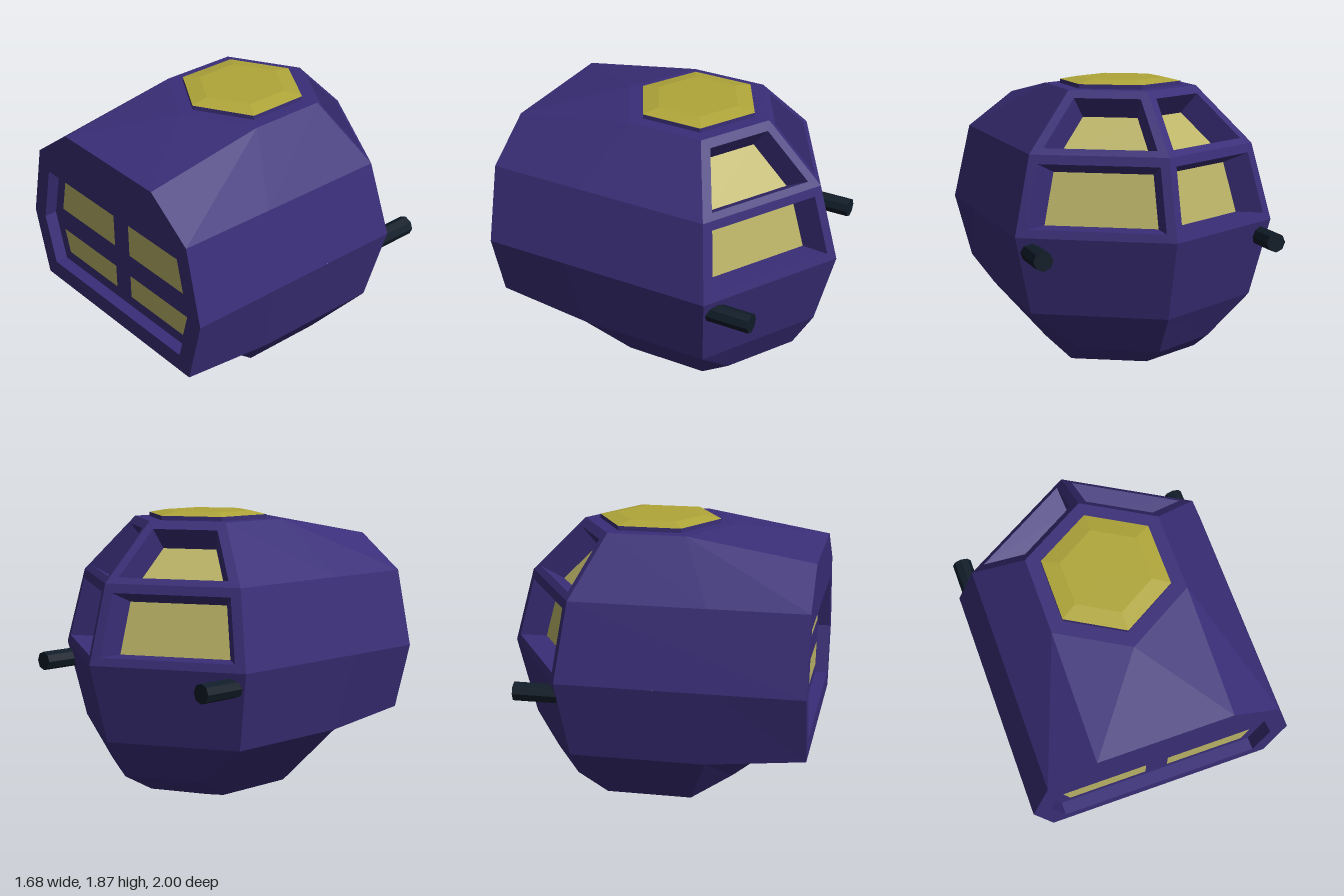
import * as THREE from 'three';

const CZ = -0.03; // centre of the six-sided body in z
const V = (x, y, z) => new THREE.Vector3(x, y, z);
const mat = (color) => new THREE.MeshStandardMaterial({ color, flatShading: true });
const centroid = (pts) => pts.reduce((s, p) => s.add(p), V(0, 0, 0)).divideScalar(pts.length);

// Collects flat polygons and their mirror images in x, turned to face away from (or toward) a point
class Faces {
  constructor() { this.pos = []; }
  add(pts, ref = V(0, 0.95, 0), toward = false) {
    const n = V(0, 0, 0);
    for (let i = 1; i < pts.length - 1; i++) {
      n.add(pts[i].clone().sub(pts[0]).cross(pts[i + 1].clone().sub(pts[0])));
    }
    const out = n.dot(centroid(pts).sub(ref)) > 0;
    const p = out !== toward ? pts : [...pts].reverse();
    for (let i = 1; i < p.length - 1; i++) {
      for (const q of [p[0], p[i], p[i + 1]]) this.pos.push(q.x, q.y, q.z);
      for (const q of [p[0], p[i + 1], p[i]]) this.pos.push(-q.x, q.y, q.z);
    }
  }
  // band of quads between two chains of points
  band(a, b, closed, ref, toward) {
    const n = a.length;
    for (let i = 0; i < (closed ? n : n - 1); i++) {
      const j = (i + 1) % n;
      this.add([a[i], a[j], b[j], b[i]], ref, toward);
    }
  }
  mesh(name, material) {
    const g = new THREE.BufferGeometry();
    g.setAttribute('position', new THREE.Float32BufferAttribute(this.pos, 3));
    g.computeVertexNormals();
    const m = new THREE.Mesh(g, material);
    m.name = name;
    return m;
  }
}

// One hexagonal ring: its back, back-side, front-side and front corners
function ring(y, r) {
  const x = r * 0.866;
  return { back: V(0, y, CZ - r), rear: V(x, y, CZ - r / 2), fore: V(x, y, CZ + r / 2), front: V(0, y, CZ + r) };
}

export function createModel() {
  const group = new THREE.Group();
  const purple = mat(0x3a2e78), yellow = mat(0xb0a63a), glass = mat(0xbdb568), dark = mat(0x101c28);
  const shell = new Faces(), recesses = new Faces(), panes = new Faces(), frontPanes = new Faces();

  const top = ring(1.82, 0.485), upper = ring(1.465, 0.84), middle = ring(0.98, 0.97);
  const lower = ring(0.49, 0.84), bottom = ring(0.13, 0.485);
  bottom.fore.z = 0.25;
  bottom.rear.z = -0.29;
  const pole = V(0, 0, CZ);

  // Front outline, from the top middle to the bottom middle
  const rim = [V(0, 1.69, 1), V(0.42, 1.69, 1), V(0.727, 1.465, 1), V(0.84, 0.98, 1), V(0.727, 0.555, 1), V(0, 0.555, 1)];

  // Roof
  shell.add([top.back, top.rear, top.fore, top.front]);
  shell.add([top.fore, top.front, rim[1]]);
  shell.add([top.front, rim[0], rim[1]]);

  // Sides
  shell.add([top.rear, top.fore, upper.fore, upper.rear]);
  shell.add([top.fore, rim[1], rim[2], upper.fore]);
  shell.add([upper.rear, rim[2], rim[3], middle.rear]);
  shell.add([middle.rear, middle.fore, lower.fore, lower.rear]);
  shell.add([middle.fore, rim[3], rim[4], lower.fore]);
  shell.add([lower.rear, lower.fore, bottom.fore, bottom.rear]);

  // Underside
  shell.add([lower.fore, rim[4], rim[5]]);
  shell.add([lower.fore, rim[5], bottom.front, bottom.fore]);
  shell.add([bottom.front, bottom.fore, pole]);
  shell.add([bottom.fore, bottom.rear, pole]);
  shell.add([bottom.rear, bottom.back, pole]);

  // Lower back with a bulging chin
  const chinMid = V(0, 0.25, -0.73), chinSide = V(0.43, 0.25, -0.48);
  shell.add([middle.back, middle.rear, lower.rear, lower.back]);
  shell.add([lower.back, lower.rear, chinSide, chinMid]);
  shell.add([lower.rear, chinSide, bottom.rear]);
  shell.add([chinMid, chinSide, bottom.rear, bottom.back]);

  // Back windows: frame, tapered recess and pane
  function backWindow(lo, hi, y0, y1) {
    const corner = (y, atSide) => {
      const t = (y - lo.back.y) / (hi.back.y - lo.back.y);
      const b = lo.back.clone().lerp(hi.back, t), s = lo.rear.clone().lerp(hi.rear, t);
      return b.clone().lerp(s, atSide ? 1 - 0.055 / s.x : 0.05 / s.x);
    };
    const outer = [lo.back, lo.rear, hi.rear, hi.back];
    const open = [corner(y0, false), corner(y0, true), corner(y1, true), corner(y1, false)];
    shell.band(outer, open, true);
    const c = centroid(open);
    const n = open[1].clone().sub(open[0]).cross(open[3].clone().sub(open[0])).normalize();
    if (n.z > 0) n.negate();
    const inner = open.map((p) => p.clone().lerp(c, 0.17).addScaledVector(n, -0.155));
    recesses.band(open, inner, true, c, true);
    panes.add(inner);
  }
  backWindow(middle, upper, 1.03, 1.41);
  backWindow(upper, top, 1.5, 1.775);

  // Front frame with a shallow recess and four panes
  const open = [V(0, 1.35, 1), V(0.4, 1.35, 1), V(0.64, 1.35, 1), V(0.727, 0.98, 1), V(0.64, 0.67, 1), V(0, 0.67, 1)];
  const deep = open.map((p) => V(p.x, p.y, 0.92));
  shell.band(rim, open, false);
  recesses.band(open, deep, false, V(0, 0.98, 0.96), true);
  recesses.add(deep);
  for (const [y0, x0, y1, x1] of [[1.05, 0.63, 1.275, 0.58], [0.745, 0.58, 0.9, 0.625]]) {
    frontPanes.add([V(0.073, y0, 0.924), V(x0, y0, 0.924), V(x1, y1, 0.924), V(0.073, y1, 0.924)]);
  }

  group.add(
    shell.mesh('shell', purple), recesses.mesh('windowRecesses', purple),
    panes.mesh('backWindowPanes', glass), frontPanes.mesh('frontWindowPanes', glass)
  );

  // Roof hatch: hexagonal base and shallow yellow cap
  for (const [name, r0, r1, y0, y1, m] of [
    ['hatchBase', 0.388, 0.388, 1.815, 1.847, purple],
    ['hatchCap', 0.388, 0.275, 1.847, 1.867, yellow],
  ]) {
    const part = new THREE.Mesh(new THREE.CylinderGeometry(r1, r0, y1 - y0, 6), m);
    part.position.set(0, (y0 + y1) / 2, CZ);
    part.name = name;
    group.add(part);
  }

  // Rear-facing barrels
  for (const side of [-1, 1]) {
    const barrel = new THREE.Mesh(new THREE.CylinderGeometry(0.061, 0.061, 0.37, 8), dark);
    barrel.rotation.x = Math.PI / 2;
    barrel.position.set(side * 0.747, 0.887, -0.6);
    barrel.name = side > 0 ? 'leftBarrel' : 'rightBarrel';
    group.add(barrel);
  }
  return group;
}
